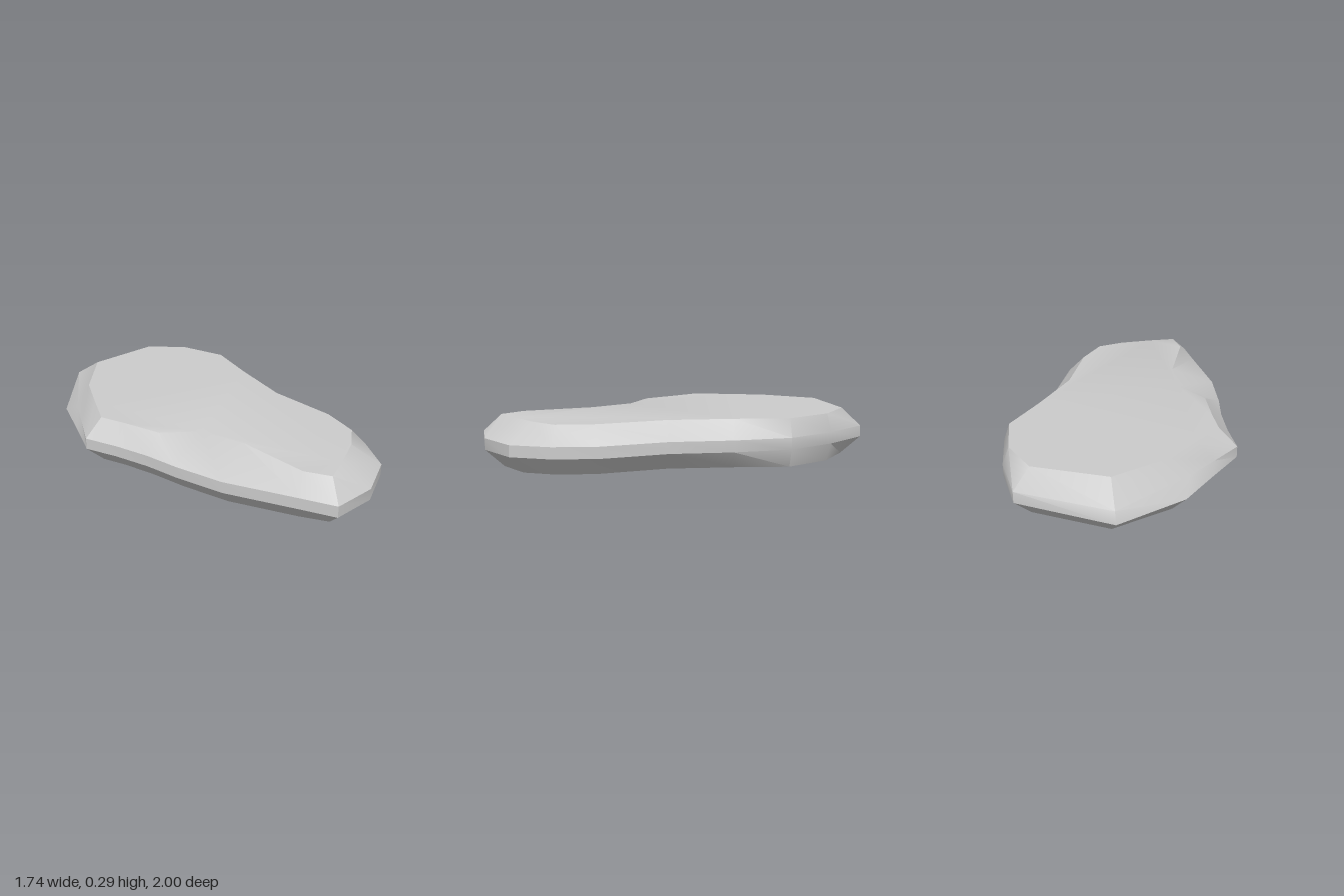
import * as THREE from 'three';
import { toCreasedNormals } from 'three/addons/utils/BufferGeometryUtils.js';

// widest outline of the slab as [x, z], clockwise seen from above
const RIM = [
  [-0.35, -1], [-0.08, -0.89], [0.16, -0.73], [0.34, -0.46], [0.5, -0.15], [0.74, 0.14], [0.84, 0.37],
  [0.87, 0.61], [0.75, 0.85], [0.55, 1], [0.37, 0.91], [0, 0.73], [-0.23, 0.56], [-0.38, 0.43],
  [-0.55, 0.31], [-0.72, 0.21], [-0.79, -0.04], [-0.87, -0.31], [-0.83, -0.73],
];
// top face, with a worn hollow along the front right edge
const TOP = [
  [-0.34, -0.89], [-0.1, -0.86], [0.13, -0.71], [0.25, -0.43], [0.41, -0.1], [0.66, 0.2], [0.75, 0.4],
  [0.71, 0.56], [0.62, 0.74], [0.54, 0.88], [0.4, 0.82], [0.14, 0.51], [-0.08, 0.36], [-0.31, 0.36],
  [-0.5, 0.23], [-0.63, 0.15], [-0.675, -0.06], [-0.72, -0.29], [-0.68, -0.64],
];

// copy an outline, replacing some of its points
const edit = (outline, changes) => outline.map((p, i) => changes[i] ?? p);

const BOTTOM = edit(TOP, {
  7: [0.77, 0.59], 8: [0.67, 0.78], 10: [0.39, 0.82], 11: [0.04, 0.65], 12: [-0.19, 0.48],
  13: [-0.34, 0.35], 16: [-0.7, -0.06], 17: [-0.77, -0.31], 18: [-0.72, -0.67],
});
const UPPER_RIM = edit(RIM, { 16: [-0.755, 0], 17: [-0.79, -0.21], 18: [-0.81, -0.72] });

// place an outline at a height, with the slab's slight tilt
const ring = (outline, y) =>
  outline.map(([x, z]) => new THREE.Vector3(x, y - 0.007 * (x + z), z));

function slabGeometry() {
  const rings = [ring(BOTTOM, 0.01), ring(RIM, 0.113), ring(UPPER_RIM, 0.178), ring(TOP, 0.28)];
  const n = RIM.length;
  const index = [];

  // bevelled side bands
  for (let r = 0; r < rings.length - 1; r++) {
    for (let i = 0; i < n; i++) {
      const j = (i + 1) % n;
      const a = r * n + i, b = r * n + j;
      index.push(a, a + n, b + n, a, b + n, b);
    }
  }

  // flat caps, turned to face down and up
  const cap = (r, up) => {
    const flat = rings[r].map((p) => new THREE.Vector2(p.x, p.z));
    for (const [a, b, c] of THREE.ShapeUtils.triangulateShape(flat, [])) {
      const facesUp = THREE.ShapeUtils.area([flat[a], flat[b], flat[c]]) < 0;
      const tri = facesUp === up ? [a, b, c] : [a, c, b];
      index.push(...tri.map((k) => r * n + k));
    }
  };
  cap(0, false);
  cap(3, true);

  const geometry = new THREE.BufferGeometry().setFromPoints(rings.flat());
  geometry.setIndex(index);
  return toCreasedNormals(geometry, THREE.MathUtils.degToRad(33));
}

export function createModel() {
  const group = new THREE.Group();
  group.name = 'flatStone';
  const slab = new THREE.Mesh(slabGeometry(), new THREE.MeshStandardMaterial({ color: 0xcccccc }));
  slab.name = 'stoneSlab';
  group.add(slab);
  return group;
}
